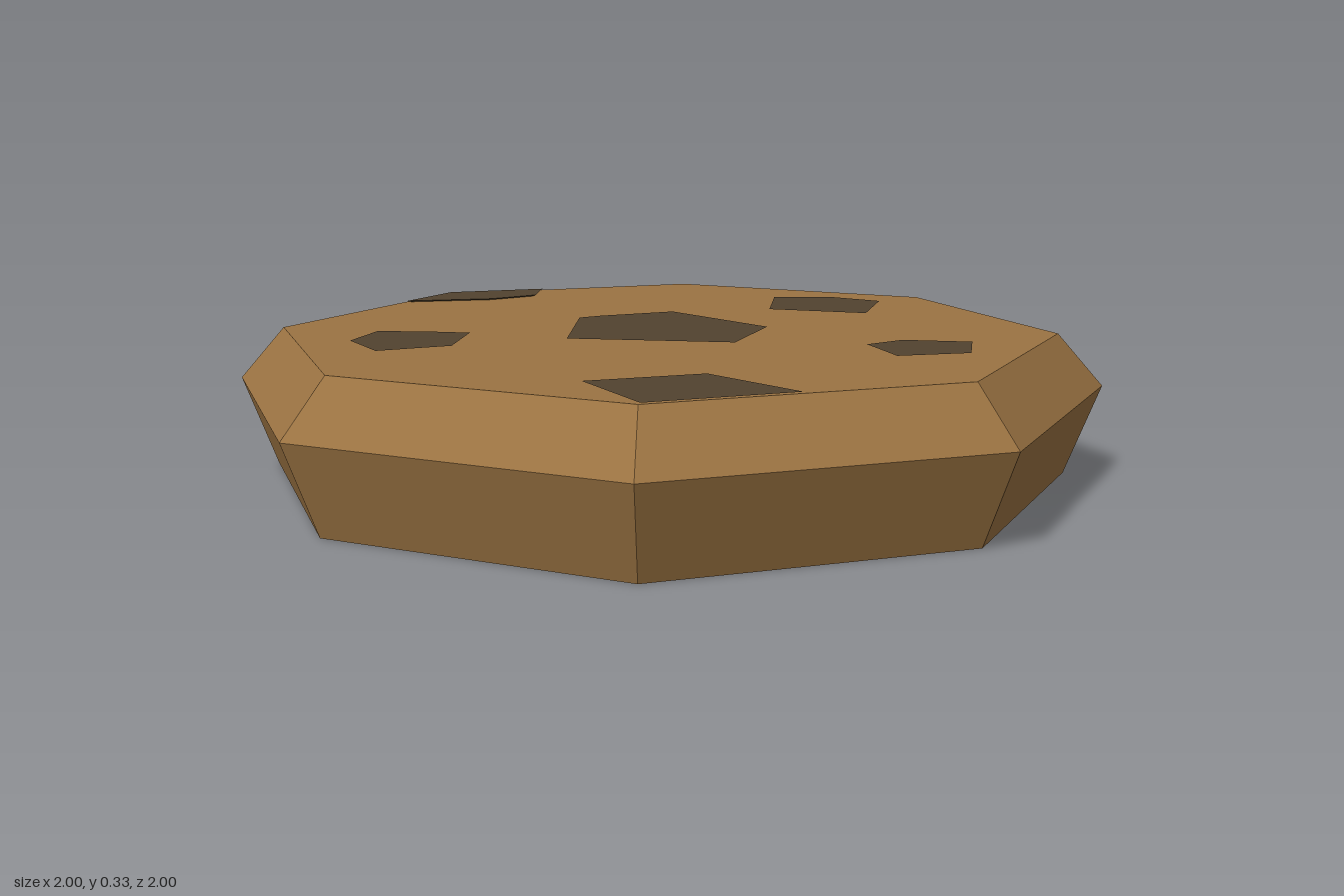
import * as THREE from 'three';
import { ConvexGeometry } from 'three/addons/geometries/ConvexGeometry.js';

const TOP = 0.325;

export function createModel() {
  const model = new THREE.Group();
  model.name = 'cookie';
  const dough = new THREE.MeshStandardMaterial({ color: 0x9b7342, flatShading: true });
  dough.name = 'baked dough';
  const chocolate = new THREE.MeshStandardMaterial({ color: 0x52432f, flatShading: true });
  chocolate.name = 'dark chocolate';

  const add = (geometry, material, name) => {
    const mesh = new THREE.Mesh(geometry, material);
    mesh.name = name;
    model.add(mesh);
  };

  // Eight-sided body with a flared side and a bevelled top rim
  const profile = [[0, 0], [0.92, 0], [1, 0.205], [0.895, TOP], [0, TOP]];
  add(new THREE.LatheGeometry(profile.map(p => new THREE.Vector2(...p)), 8), dough, 'cookieBody');

  // Flat chips on the top, as [x, z] outlines
  const chips = {
    centerChip: [[-0.21, -0.21], [0.13, -0.2], [0.25, 0.02], [-0.04, 0.26], [-0.28, 0.03], [-0.27, -0.03]],
    backChip: [[-0.145, -0.71], [0, -0.745], [0.13, -0.545], [-0.08, -0.42], [-0.235, -0.595]],
    leftChip: [[0.59, -0.375], [0.685, -0.25], [0.605, -0.105], [0.46, -0.175], [0.47, -0.28]],
    frontLeftChip: [[0.495, 0.335], [0.755, 0.335], [0.635, 0.63], [0.395, 0.57]],
    frontRightChip: [[-0.255, 0.37], [-0.125, 0.51], [-0.175, 0.67], [-0.335, 0.635], [-0.415, 0.515], [-0.345, 0.44]],
  };
  for (const [name, outline] of Object.entries(chips)) {
    const shape = new THREE.Shape(outline.map(([x, z]) => new THREE.Vector2(x, -z)));
    const geometry = new THREE.ShapeGeometry(shape);
    geometry.rotateX(-Math.PI / 2).translate(0, TOP + 0.003, 0);
    add(geometry, chocolate, name);
  }

  // Chip that hangs over the bevelled rim
  const rimPoints = [
    [-0.79, TOP + 0.003, -0.25], [-0.695, TOP + 0.003, -0.155], [-0.71, TOP + 0.003, -0.02],
    [-0.82, TOP + 0.003, 0.17], [-0.895, TOP + 0.003, -0.02],
    [-0.96, 0.28, -0.01], [-0.955, 0.256, 0], [-0.75, 0.28, -0.02],
  ];
  add(new ConvexGeometry(rimPoints.map(p => new THREE.Vector3(...p))), chocolate, 'rimChip');

  return model;
}
